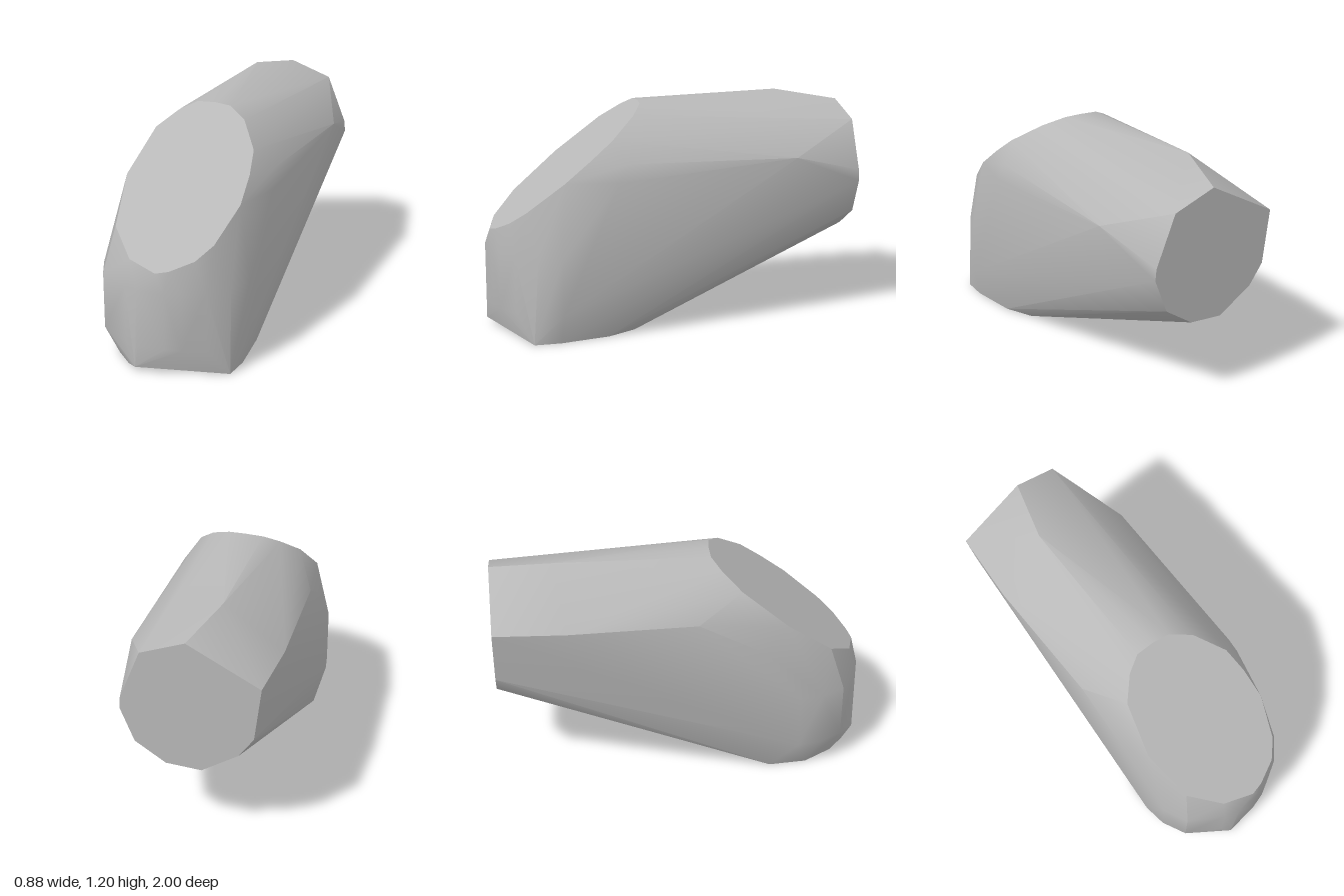
import * as THREE from 'three';
import { toCreasedNormals } from 'three/addons/utils/BufferGeometryUtils.js';
import { ConvexGeometry } from 'three/addons/geometries/ConvexGeometry.js';

// Turns [a, b] pairs into points by a placing rule
const place = (pairs, rule) => pairs.map(([a, b]) => new THREE.Vector3(...rule(a, b)));

export function createModel() {
  const group = new THREE.Group();
  const stone = new THREE.MeshStandardMaterial({ color: 0xb8b8b8 });
  stone.name = 'stone grey';

  // Slanted oval facet at the front (x, y)
  const slantFacet = place([
    [0, 1.185], [0.09, 1.18], [0.2, 1.135], [0.32, 1.03], [0.355, 0.94], [0.375, 0.83],
    [0.33, 0.68], [0.27, 0.615], [0.16, 0.565], [0.095, 0.55], [-0.07, 0.58],
    [-0.225, 0.68], [-0.3, 0.87], [-0.265, 1.06], [-0.18, 1.14], [-0.1, 1.18],
  ], (x, y) => [x, y, 0.17 + (1.185 - y) * 1.276]);

  // Nearly flat cap at the back (x, y)
  const backFacet = place([
    [-0.445, 0.94], [-0.08, 1.14], [0.145, 1.06], [0.25, 0.8], [0.255, 0.74],
    [0.185, 0.56], [0.03, 0.455], [-0.15, 0.44], [-0.335, 0.555], [-0.41, 0.66],
  ], (x, y) => [x, y, -0.945 - 0.079 * (x + 0.445)]);

  // Flat base (x, z)
  const base = place([
    [0.28, 0.25], [0.36, 0.4], [0.41, 0.66], [0.41, 0.8], [-0.1, 0.93], [-0.2, 0.85],
    [-0.3, 0.7], [-0.325, 0.5], [-0.22, 0.36], [-0.02, 0.27],
  ], (x, z) => [x, 0, z]);

  // Rounded front wall (x, z), at two heights
  const wall = [
    [-0.355, 0.65], [-0.33, 0.77], [-0.26, 0.89], [-0.08, 0.98], [0, 1],
    [0.14, 0.98], [0.22, 0.95], [0.32, 0.88], [0.4, 0.77], [0.44, 0.65],
  ];
  const lowerWall = place(wall, (x, z) => [x, 0.15, z]);
  const upperWall = place(wall, (x, z) => [x, 0.45, z]);

  // Corners along the ridges and sides
  const ridges = [
    [-0.155, 1.195, -0.64], [-0.445, 0.94, -0.57], [-0.39, 0.94, 0.1], [-0.365, 0.75, 0.45],
    [0.34, 0.9, -0.62], [0.418, 0.83, 0.35], [0.395, 0.92, 0.3], [-0.02, 0.03, 1],
  ].map((p) => new THREE.Vector3(...p));

  const hull = new ConvexGeometry([
    ...slantFacet, ...backFacet, ...base, ...lowerWall, ...upperWall, ...ridges,
  ]);
  const body = new THREE.Mesh(toCreasedNormals(hull, 0.5), stone);
  body.name = 'facetedStone';
  group.add(body);
  return group;
}
